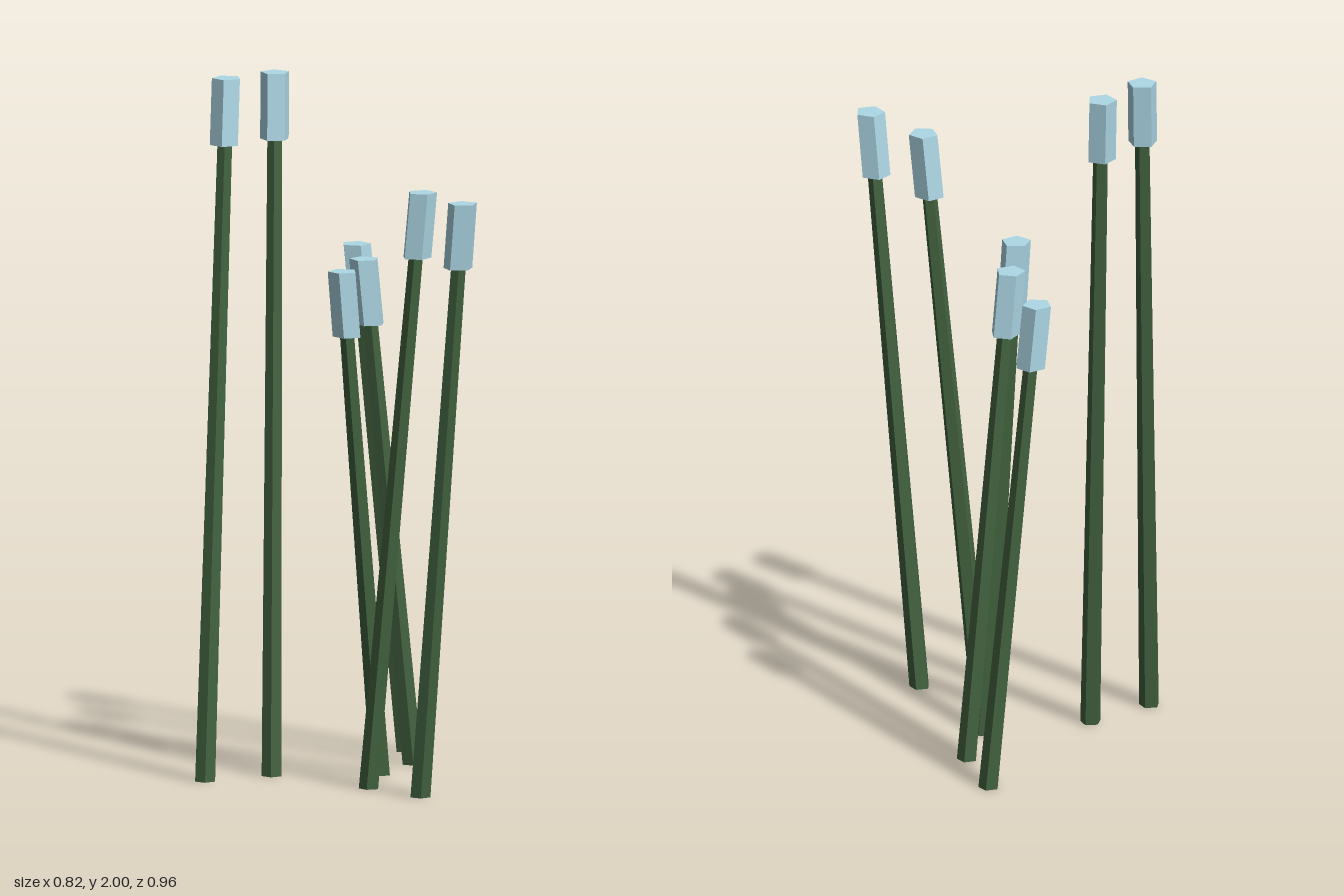
import * as THREE from 'three';

const CAP_HEIGHT = 0.19;
const rad = THREE.MathUtils.degToRad;

// Five-sided prism between two heights, sheared along a leaning axis so its ends stay level.
function leaningPrism(rBottom, rTop, y0, y1, turn, axisAt) {
  const indexed = new THREE.CylinderGeometry(rTop, rBottom, y1 - y0, 5, 1, false, Math.PI / 2 - rad(turn));
  indexed.translate(0, (y0 + y1) / 2, 0);
  const geo = indexed.toNonIndexed();
  const pos = geo.attributes.position;
  for (let i = 0; i < pos.count; i++) {
    const [dx, dz] = axisAt(pos.getY(i));
    pos.setX(i, pos.getX(i) + dx);
    pos.setZ(i, pos.getZ(i) + dz);
  }
  geo.computeVertexNormals(); // faceted
  return geo;
}

export function createModel() {
  const model = new THREE.Group();
  model.name = 'reeds';

  const stemGreen = new THREE.MeshStandardMaterial({ color: 0x42623f });
  stemGreen.name = 'stemGreen';
  const budBlue = new THREE.MeshStandardMaterial({ color: 0xadd8e6 });
  budBlue.name = 'budBlue';

  // base x, base z, top x, top z, height, stem turn, bud turn (degrees)
  const reeds = [
    [-0.385, -0.33, -0.215, -0.44, 2.0, 58, -3],
    [-0.18, -0.28, -0.045, -0.43, 2.0, 63, 16],
    [0.38, -0.36, 0.26, -0.44, 1.47, 50, 182],
    [0.255, -0.18, 0.115, -0.225, 1.47, 51, 10],
    [0.073, -0.098, -0.068, -0.098, 1.47, 0, 0],
    [-0.1, 0.06, -0.03, 0.212, 1.735, -72, 180],
    [-0.08, 0.265, -0.06, 0.432, 1.735, -90, 90],
  ];

  reeds.forEach(([bx, bz, tx, tz, h, stemTurn, budTurn], i) => {
    const axisAt = (y) => [bx + (tx - bx) * y / h, bz + (tz - bz) * y / h];
    const neck = h - CAP_HEIGHT;

    const reed = new THREE.Group();
    reed.name = `reed${i + 1}`;

    // Thin tapering stalk
    const stem = new THREE.Mesh(leaningPrism(0.03, 0.022, 0, neck + 0.01, stemTurn, axisAt), stemGreen);
    stem.name = 'stem';

    // Thicker head at the tip
    const bud = new THREE.Mesh(leaningPrism(0.043, 0.043, neck, h, budTurn, axisAt), budBlue);
    bud.name = 'bud';

    reed.add(stem, bud);
    model.add(reed);
  });

  return model;
}
